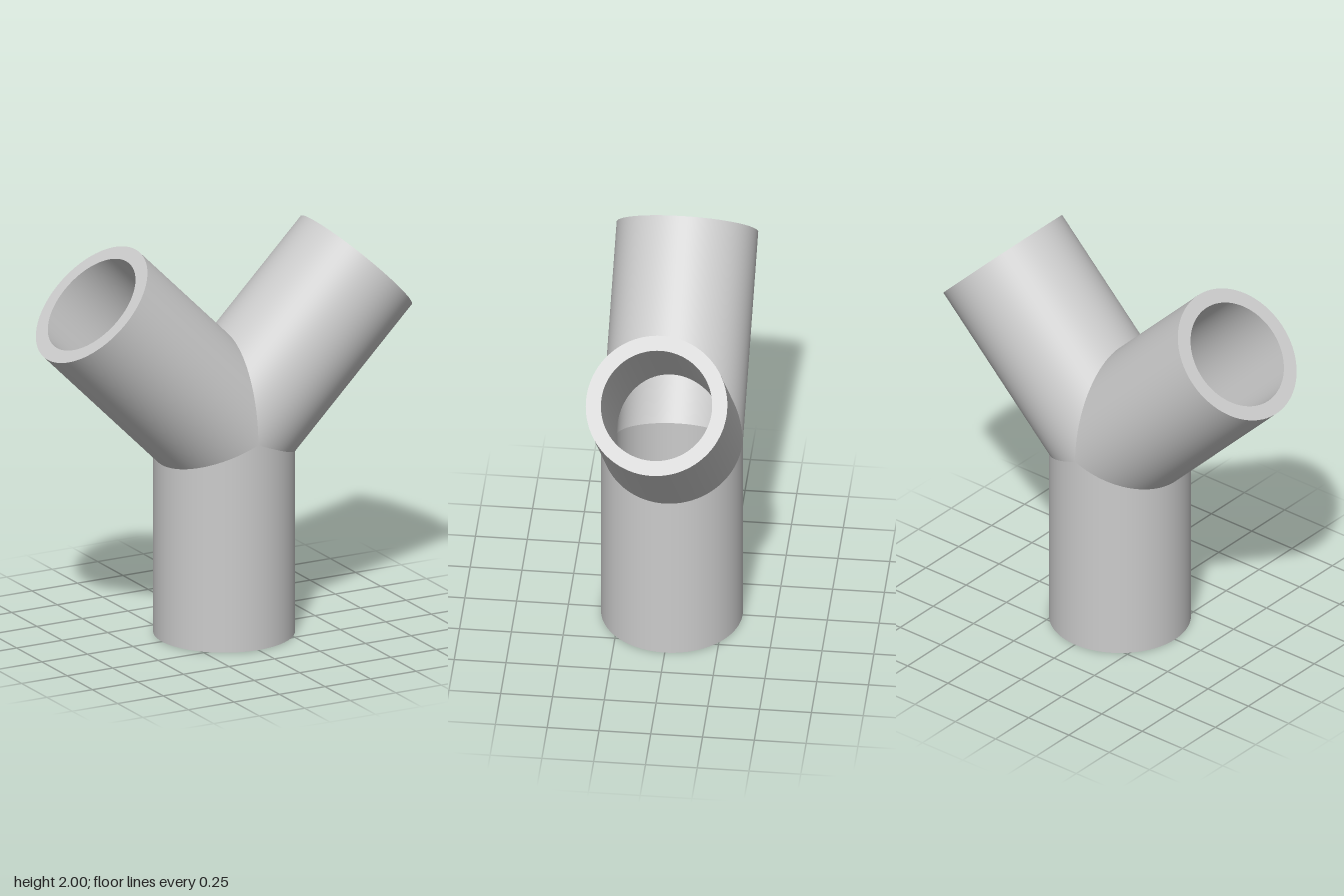
import * as THREE from 'three';
import { mergeGeometries } from 'three/addons/utils/BufferGeometryUtils.js';

const OUTER = 0.341, INNER = 0.268, LENGTH = 1.028;
const JOINT_Y = 1.032; // height where the three axes meet
const SEGMENTS = 96;

// Mitre slope between two pipes whose axes open by the given angle
const mitre = (degrees) => 1 / Math.tan(THREE.MathUtils.degToRad(degrees / 2));

// Pipe along +y from the joint, its lower end mitred on the -x and +x sides
function pipeGeometry(length, slopeNeg, slopePos) {
  const wall = (points) =>
    new THREE.LatheGeometry(points.map(([r, y]) => new THREE.Vector2(r, y)), SEGMENTS);
  const geometry = mergeGeometries([
    wall([[OUTER, 0], [OUTER, length]]),      // outside
    wall([[OUTER, length], [INNER, length]]), // end ring
    wall([[INNER, length], [INNER, 0]]),      // bore
  ]);
  const pos = geometry.attributes.position;
  for (let i = 0; i < pos.count; i++) {
    if (pos.getY(i) > length / 2) continue;
    const x = pos.getX(i);
    pos.setY(i, x < 0 ? -x * slopeNeg : x * slopePos);
  }
  return geometry;
}

export function createModel() {
  const group = new THREE.Group();
  group.name = 'yPipeFitting';
  const material = new THREE.MeshStandardMaterial({ color: 0xcccccc });
  const toArm = mitre(90), toStem = mitre(135);

  const addPipe = (name, length, slopeNeg, slopePos, angle) => {
    const mesh = new THREE.Mesh(pipeGeometry(length, slopeNeg, slopePos), material);
    mesh.name = name;
    mesh.position.y = JOINT_Y;
    mesh.rotation.z = angle;
    group.add(mesh);
  };

  addPipe('stem', JOINT_Y, toStem, toStem, Math.PI);
  addPipe('leftArm', LENGTH, toArm, toStem, -Math.PI / 4);
  addPipe('rightArm', LENGTH, toStem, toArm, Math.PI / 4);
  return group;
}
